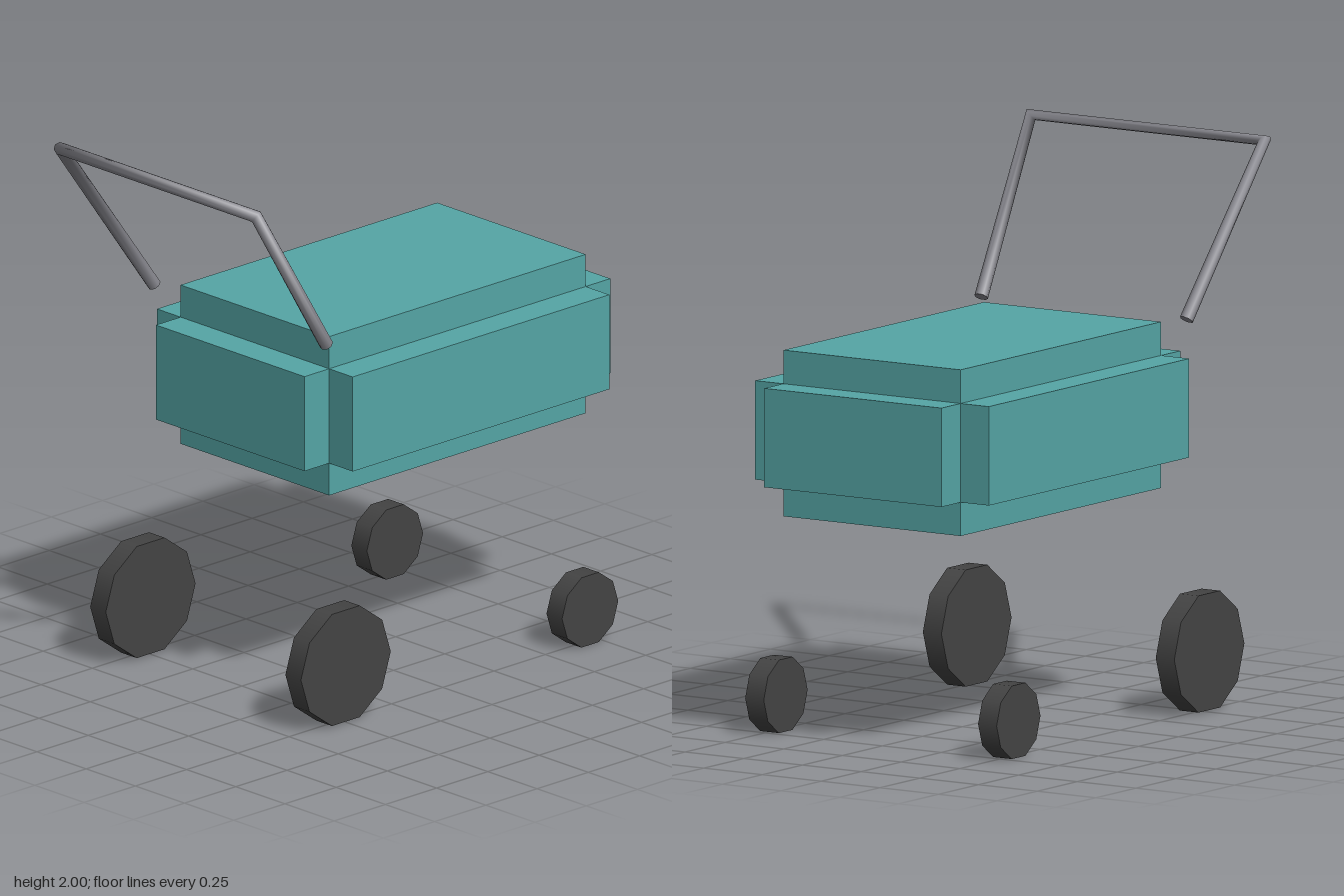
import * as THREE from 'three';

const material = (color) => new THREE.MeshStandardMaterial({ color });

// Polyline whose corner tangents are averaged, so a tube around it gets mitred rings.
class Polyline extends THREE.Curve {
  constructor(points) {
    super();
    this.points = points;
  }
  getPointAt(u) {
    return this.points[Math.round(u * (this.points.length - 1))].clone();
  }
  getTangentAt(u) {
    const p = this.points;
    const i = Math.round(u * (p.length - 1));
    const t = new THREE.Vector3();
    if (i > 0) t.add(p[i].clone().sub(p[i - 1]).normalize());
    if (i < p.length - 1) t.add(p[i + 1].clone().sub(p[i]).normalize());
    return t.normalize();
  }
}

export function createModel() {
  const model = new THREE.Group();
  model.name = 'pram';
  const bodyMat = material(0x55a5a5);
  const wheelMat = material(0x444444);
  const handleMat = material(0x88888f);

  const add = (parent, name, geometry, mat, x = 0, y = 0, z = 0) => {
    const mesh = new THREE.Mesh(geometry, mat);
    mesh.name = name;
    mesh.position.set(x, y, z);
    parent.add(mesh);
    return mesh;
  };

  // Basket: three crossed boxes leave a stepped notch along every edge
  const basket = new THREE.Group();
  basket.name = 'basket';
  model.add(basket);
  const inner = [0.755, 0.353, 1.252];
  const step = 0.12;
  ['basketWide', 'basketTall', 'basketLong'].forEach((name, axis) => {
    const size = inner.map((s, i) => (i === axis ? s + 2 * step : s));
    add(basket, name, new THREE.BoxGeometry(...size), bodyMat, 0, 1.09, -0.189);
  });

  // Wheels: ten-sided discs, large pair in front and small pair behind
  const wheel = (name, radius, x, y, z) => {
    const geometry = new THREE.CylinderGeometry(radius, radius, 0.079, 10).rotateZ(Math.PI / 2);
    add(model, name, geometry, wheelMat, x, y, z);
  };
  for (const [side, s] of [['left', 1], ['right', -1]]) {
    wheel(side + 'FrontWheel', 0.219, s * 0.496, 0.215, 0.507);
    wheel(side + 'BackWheel', 0.137, s * 0.496, 0.131, -0.685);
  }

  // Push handle: one bent tube with capped ends
  const handle = new THREE.Group();
  handle.name = 'handle';
  model.add(handle);
  const radius = 0.025;
  const path = new Polyline([
    new THREE.Vector3(-0.437, 1.39, 0.508),
    new THREE.Vector3(-0.497, 1.98, 0.907),
    new THREE.Vector3(0.497, 1.98, 0.907),
    new THREE.Vector3(0.437, 1.39, 0.508),
  ]);
  add(handle, 'handleBar', new THREE.TubeGeometry(path, 3, radius, 8), handleMat);
  for (const u of [0, 1]) {
    const outward = path.getTangentAt(u).multiplyScalar(u ? 1 : -1);
    const cap = add(handle, 'handleEnd', new THREE.CircleGeometry(radius, 8), handleMat, ...path.getPointAt(u));
    cap.quaternion.setFromUnitVectors(new THREE.Vector3(0, 0, 1), outward);
  }

  return model;
}
